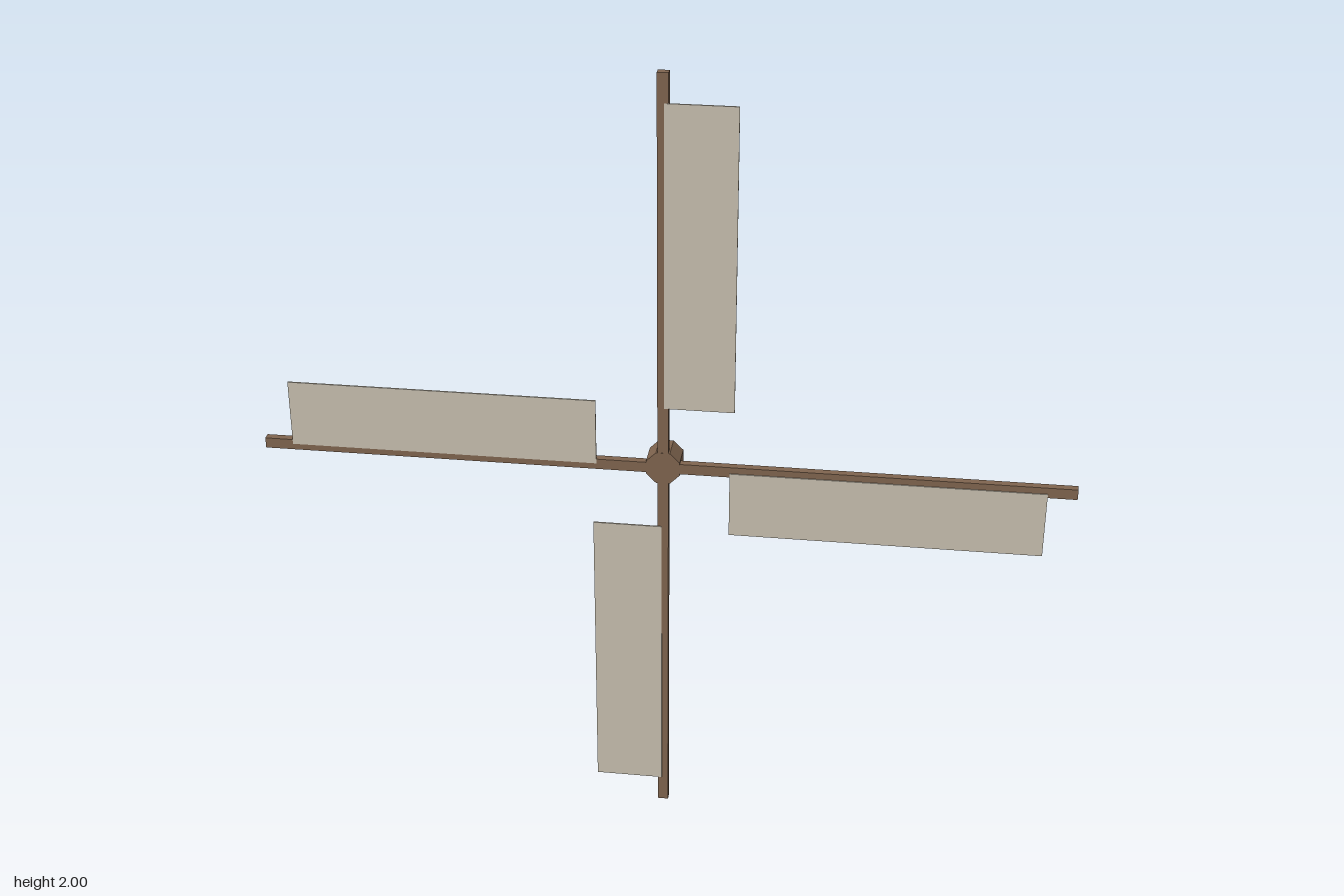
import * as THREE from 'three';

export function createModel() {
  const wood = new THREE.MeshStandardMaterial({ color: 0x80654f });
  wood.name = 'brown wood';
  const cloth = new THREE.MeshStandardMaterial({ color: 0xc8c0b0 });
  cloth.name = 'pale sailcloth';

  const model = new THREE.Group();
  model.name = 'windmillRotor';

  const add = (parent, name, geometry, material, x, y, z) => {
    const mesh = new THREE.Mesh(geometry, material);
    mesh.name = name;
    mesh.position.set(x, y, z);
    parent.add(mesh);
    return mesh;
  };

  // Eight-sided hub, reaching back from the arms
  const hubGeometry = new THREE.CylinderGeometry(0.045, 0.045, 0.07, 8).toNonIndexed();
  hubGeometry.rotateY(Math.PI / 8);
  hubGeometry.rotateX(Math.PI / 2);
  hubGeometry.computeVertexNormals();
  add(model, 'hub', hubGeometry, wood, 0, 1, -0.001);

  // Four arms, each with a thin sail on one side of its front face
  const armGeometry = new THREE.BoxGeometry(0.027, 1, 0.02);
  const sailGeometry = new THREE.BoxGeometry(0.171, 0.765, 0.004);
  for (let i = 0; i < 4; i++) {
    const blade = new THREE.Group();
    blade.name = 'blade' + (i + 1);
    blade.position.y = 1;
    blade.rotation.z = -i * Math.PI / 2;
    add(blade, 'arm', armGeometry, wood, 0, 0.5, 0.0235);
    add(blade, 'sail', sailGeometry, cloth, 0.0885, 0.5465, 0.034);
    model.add(blade);
  }
  return model;
}
